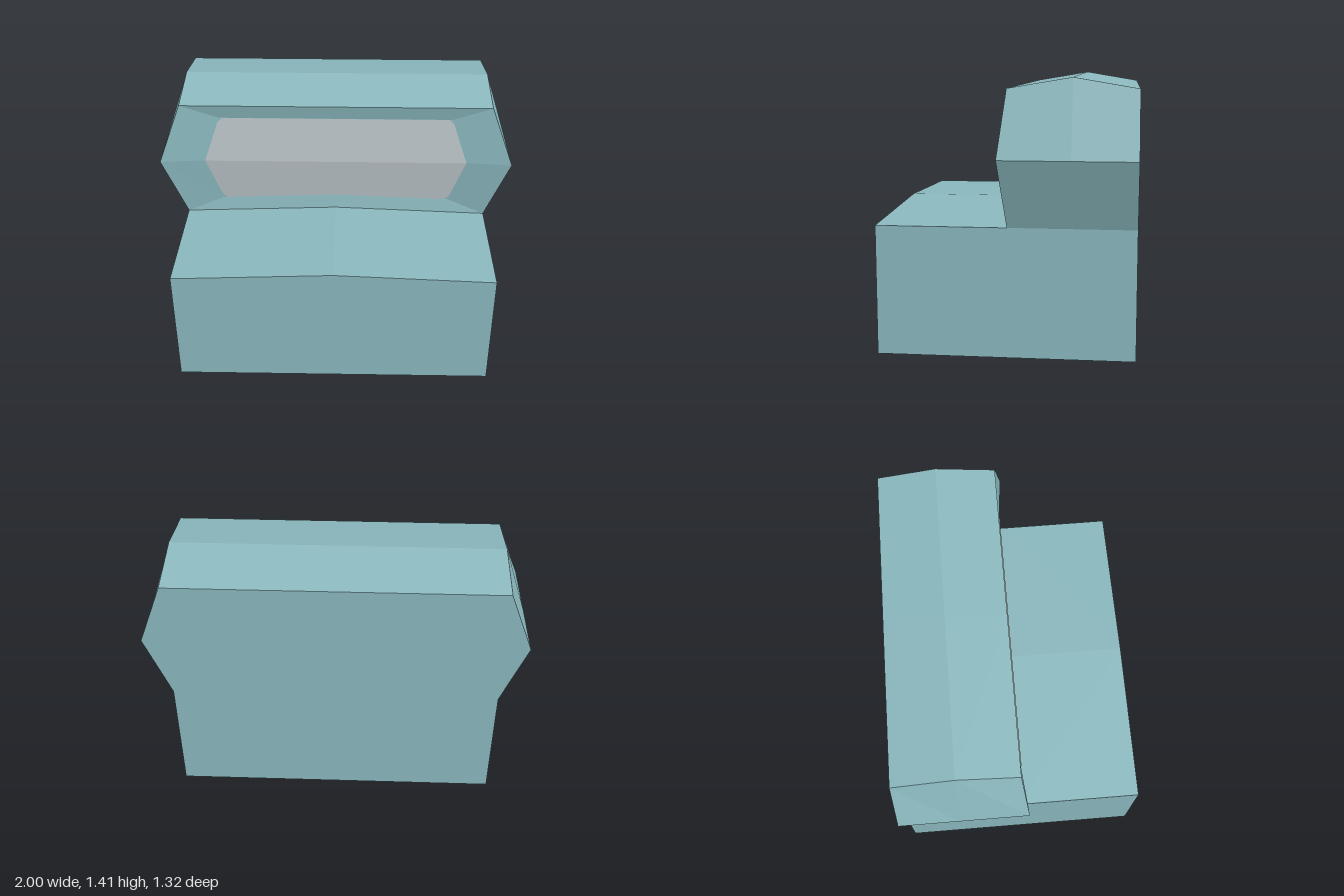
import * as THREE from 'three';

// Mesh from convex polygons on the +x half, mirrored to the -x half
function mirroredMesh(name, material, polygons) {
  const pos = [];
  for (const poly of polygons) {
    for (let i = 1; i < poly.length - 1; i++) {
      const [a, b, c] = [poly[0], poly[i], poly[i + 1]];
      pos.push(...a, ...b, ...c);
      for (const [x, y, z] of [a, c, b]) pos.push(-x, y, z);
    }
  }
  const geometry = new THREE.BufferGeometry();
  geometry.setAttribute('position', new THREE.Float32BufferAttribute(pos, 3));
  geometry.computeVertexNormals();
  const mesh = new THREE.Mesh(geometry, material);
  mesh.name = name;
  return mesh;
}

export function createModel() {
  const body = new THREE.MeshStandardMaterial({ color: 0x8ab8be });
  body.name = 'dusty teal';
  const pale = new THREE.MeshStandardMaterial({ color: 0xbcc4c8 });
  pale.name = 'pale grey';

  const W = 0.87, F = 0.66, B = -0.66, SEAT = 0.67, RISE = 0.705;
  const group = new THREE.Group();
  group.name = 'console';

  // Base block with a slightly pitched top
  group.add(mirroredMesh('base', body, [
    [[0, 0, F], [W, 0, F], [W, SEAT, F], [0, RISE, F]],
    [[W, 0, F], [W, 0, B], [W, SEAT, B], [W, SEAT, F]],
    [[0, RISE, F], [W, SEAT, F], [W, SEAT, -0.01], [0, RISE, -0.006]],
    [[0, 0, B], [W, 0, B], [W, 0, F], [0, 0, F]],
    [[0, 0, B], [0, SEAT, B], [W, SEAT, B], [W, 0, B]],
  ]));

  // Housing: top slopes, bevelled ends and flat back
  const top = [W, 1.36, -0.01], ridge = [W, 1.415, -0.335], topBack = [W, 1.36, B];
  const mid = [1, 1.02, 0.027], midCentre = [1, 1.02, -0.335], midBack = [1, 1.02, B];
  const low = [W, SEAT, -0.01], lowBack = [W, SEAT, B];
  const centre = ([, y, z]) => [0, y, z];
  group.add(mirroredMesh('housing', body, [
    [centre(top), top, ridge, centre(ridge)],
    [centre(ridge), ridge, topBack, centre(topBack)],
    [mid, midCentre, ridge, top],
    [midCentre, midBack, topBack, ridge],
    [low, lowBack, midBack, mid],
    [[0, SEAT, B], centre(topBack), topBack, midBack, lowBack],
  ]));

  // Shallow recess in the front of the housing
  const outer = [centre(top), top, mid, low, [0, RISE, -0.006]];
  const inner = [[0, 1.28, -0.025], [0.655, 1.28, -0.025], [0.745, 1.02, 0.003],
    [0.655, 0.757, -0.025], [0, 0.785, -0.022]];
  const m0 = [0, 1.02, 0.003];
  const recess = [
    [m0, inner[2], inner[1], inner[0]],
    [inner[4], inner[3], inner[2], m0],
  ];
  for (let i = 0; i < 4; i++) recess.push([outer[i], inner[i], inner[i + 1], outer[i + 1]]);
  group.add(mirroredMesh('frontRecess', body, recess));

  // Thin pale panel with clipped corners
  const panel = mirroredMesh('frontPanel', pale, [
    [m0, inner[2], [0.662, 1.256, -0.0224], [0.635, 1.28, -0.025], inner[0]],
    [m0, inner[4], [0.635, 0.758, -0.025], [0.662, 0.782, -0.0224], inner[2]],
  ]);
  panel.position.z = 0.003;
  group.add(panel);

  return group;
}
